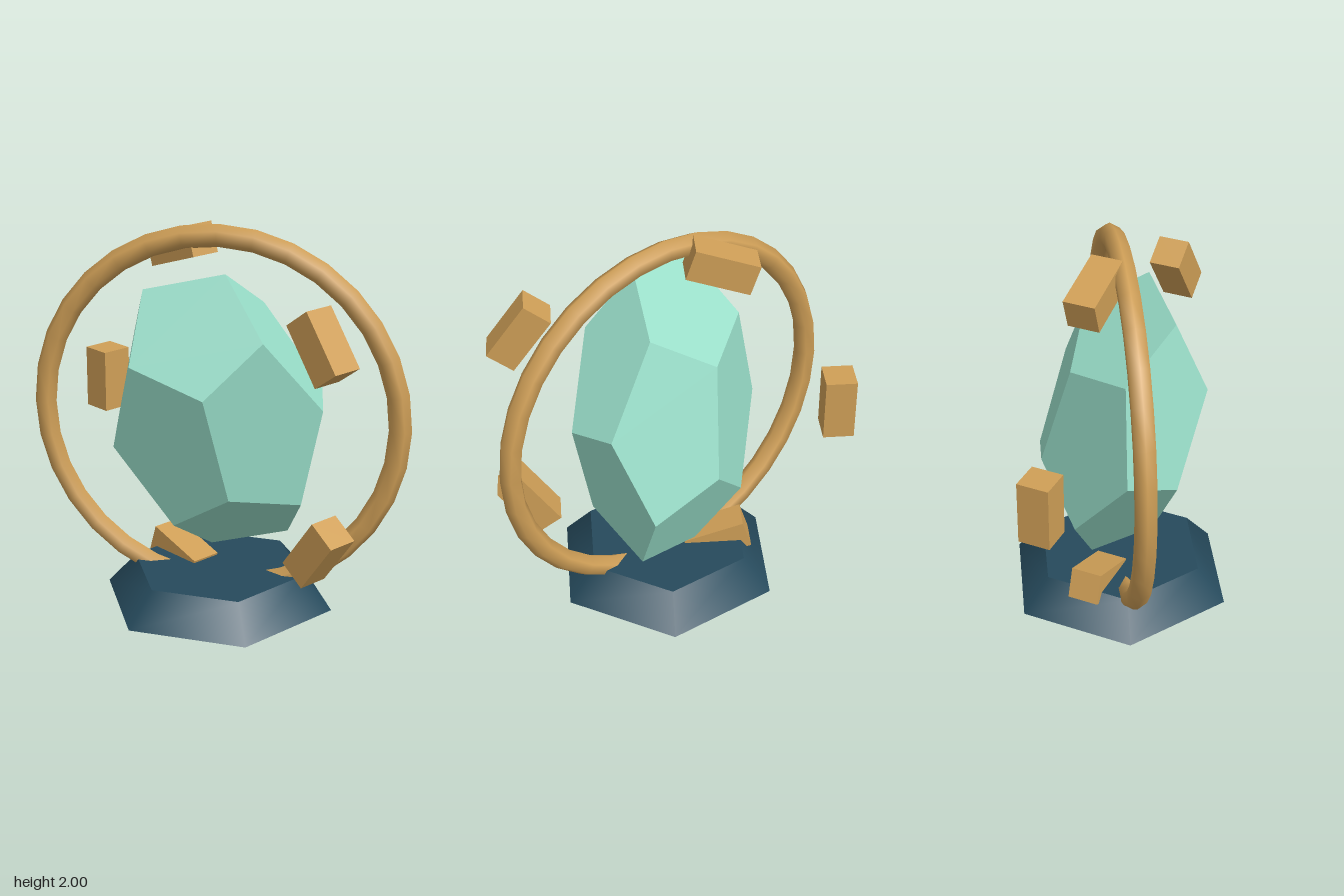
import * as THREE from 'three';

export function createModel() {
  const model = new THREE.Group();
  const gold = new THREE.MeshStandardMaterial({ color: 0xcf9f57 });
  const stone = new THREE.MeshStandardMaterial({ color: 0x264a5c });
  const gem = new THREE.MeshStandardMaterial({ color: 0x9adfca, flatShading: true });
  const cx = 0.04, cy = 1.008;

  const add = (name, geometry, material, x, y) => {
    const mesh = new THREE.Mesh(geometry, material);
    mesh.name = name;
    mesh.position.set(x, y, 0);
    model.add(mesh);
    return mesh;
  };

  // Six-sided tapered pedestal
  add('base', new THREE.CylinderGeometry(0.46, 0.615, 0.175, 6), stone, cx, 0.0875);

  // Faceted stone, stretched and tilted
  const crystal = add('crystal', new THREE.DodecahedronGeometry(1), gem, cx, cy);
  crystal.scale.set(0.578, 0.829, 0.378);
  crystal.rotation.set(0.3, 0.765, 0);

  // Upright hoop, sunk into the pedestal and turned about the vertical
  const ring = add('ring', new THREE.TorusGeometry(0.934, 0.058, 6, 32), gold, cx, cy);
  ring.rotation.y = 0.562;

  // Five blocks floating in a circle that faces the front
  const blockGeometry = new THREE.BoxGeometry(0.16, 0.33, 0.165);
  for (let i = 0; i < 5; i++) {
    const angle = Math.PI + (i * 2 * Math.PI) / 5;
    const block = add(`floatingBlock${i + 1}`, blockGeometry, gold,
      cx + 0.89 * Math.cos(angle), cy + 0.89 * Math.sin(angle));
    block.rotation.z = angle;
  }

  return model;
}
